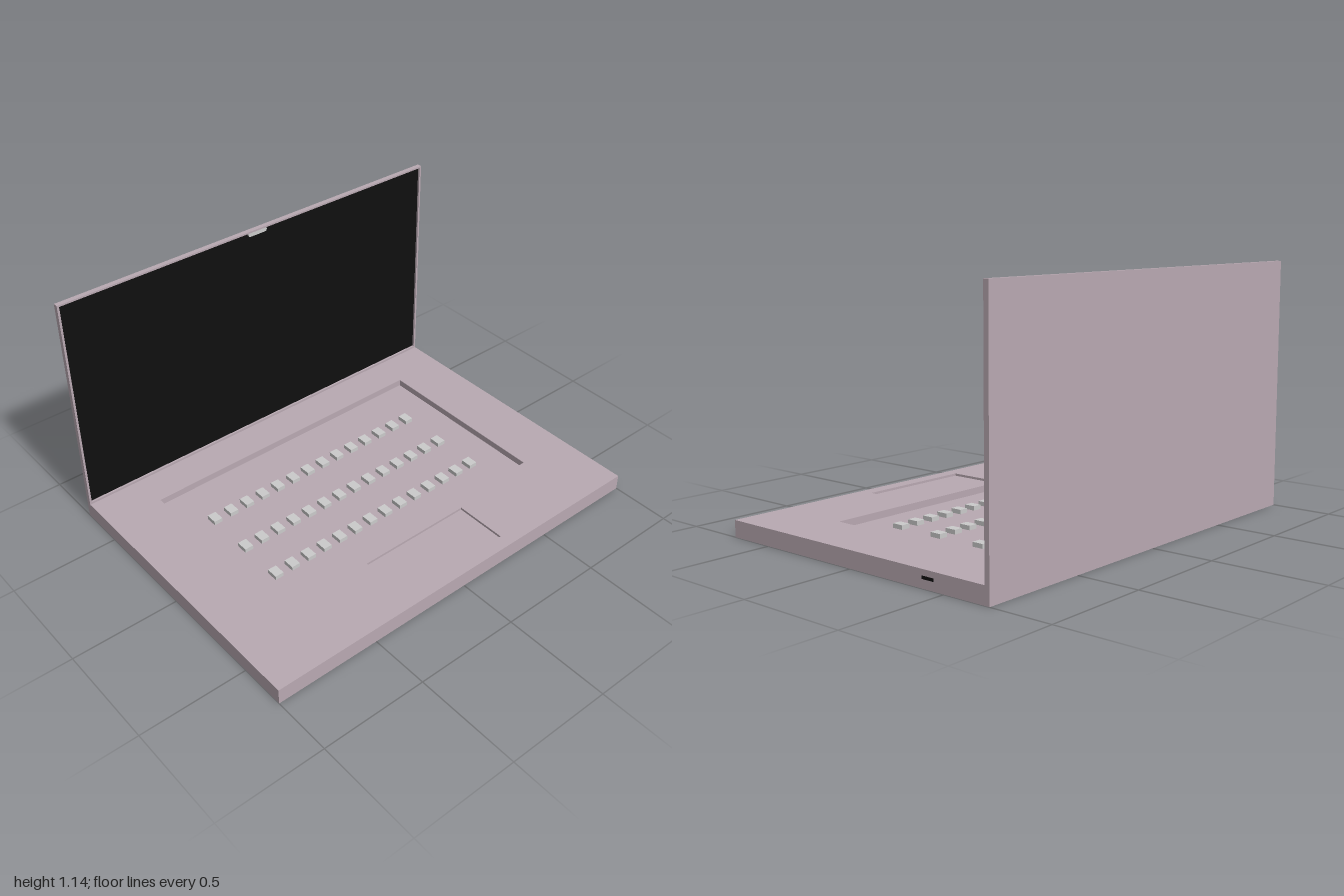
import * as THREE from 'three';

const shell = new THREE.MeshStandardMaterial({ color: 0xb9a9b2 });
const black = new THREE.MeshStandardMaterial({ color: 0x0f0f0f });
const grey = new THREE.MeshStandardMaterial({ color: 0xcccccc });

// Traces a rectangle into a Shape or Path
function rect(path, x0, y0, x1, y1) {
  path.moveTo(x0, y0);
  path.lineTo(x1, y0);
  path.lineTo(x1, y1);
  path.lineTo(x0, y1);
  path.closePath();
  return path;
}

// Flat plate in the XY plane with rectangular openings
function plate(outer, holes, depth) {
  const shape = rect(new THREE.Shape(), ...outer);
  shape.holes = holes.map((h) => rect(new THREE.Path(), ...h));
  return new THREE.ExtrudeGeometry(shape, { depth, bevelEnabled: false });
}

// Box given by its minimum and maximum corners
function box(x0, y0, z0, x1, y1, z1) {
  return new THREE.BoxGeometry(x1 - x0, y1 - y0, z1 - z0)
    .translate((x0 + x1) / 2, (y0 + y1) / 2, (z0 + z1) / 2);
}

export function createModel() {
  const model = new THREE.Group();
  model.name = 'laptop';
  const add = (name, geometry, material, parent = model) => {
    const mesh = new THREE.Mesh(geometry, material);
    mesh.name = name;
    parent.add(mesh);
    return mesh;
  };

  const D = 0.72, baseTop = 0.075, wellFloor = 0.043, lidFront = -0.697, lidTop = 1.14;

  // Base: solid lower slab and a deck with keyboard and trackpad openings
  const base = new THREE.Group();
  base.name = 'base';
  model.add(base);
  add('baseSlab', box(-1, 0, -D, 1, wellFloor, D), shell, base);
  const deck = plate(
    [-1, -D, 1, D],
    [[-0.737, -0.365, 0.733, 0.52], [-0.285, -0.657, 0.28, -0.407]],
    baseTop - wellFloor
  );
  deck.rotateX(-Math.PI / 2).translate(0, wellFloor, 0);
  add('deck', deck, shell, base);
  add('trackpad', box(-0.285, wellFloor, 0.407, 0.28, 0.064, 0.657), shell, base);
  add('sidePort', box(0.98, 0.037, -0.45, 1.001, 0.05, -0.39), black, base);

  // Keys: three rows of fourteen
  const keys = new THREE.Group();
  keys.name = 'keys';
  model.add(keys);
  const keyGeometry = new THREE.BoxGeometry(0.042, 0.02, 0.055);
  for (const z of [-0.275, -0.04, 0.18]) {
    for (let i = 0; i < 14; i++) {
      add('key', keyGeometry, grey, keys).position.set(-0.605 + i * 0.089, wellFloor + 0.01, z);
    }
  }

  // Lid: back panel, thin bezel and recessed display
  const lid = new THREE.Group();
  lid.name = 'lid';
  model.add(lid);
  add('lidBack', box(-1, baseTop, -D, 1, lidTop, -0.712), shell, lid);
  const bezel = plate([-1, baseTop, 1, lidTop], [[-0.99, 0.086, 0.99, 1.132]], lidFront + 0.712);
  add('bezel', bezel.translate(0, 0, -0.712), shell, lid);
  add('display', box(-0.99, 0.086, -0.713, 0.99, 1.132, -0.707), black, lid);

  // Camera notch hanging from the top bezel, lower corners rounded
  const notch = new THREE.Shape();
  notch.moveTo(-0.04, 1.133);
  notch.lineTo(-0.04, 1.124);
  notch.quadraticCurveTo(-0.04, 1.113, -0.029, 1.113);
  notch.lineTo(0.049, 1.113);
  notch.quadraticCurveTo(0.06, 1.113, 0.06, 1.124);
  notch.lineTo(0.06, 1.133);
  notch.closePath();
  const notchGeometry = new THREE.ExtrudeGeometry(notch, { depth: 0.01, bevelEnabled: false, curveSegments: 5 });
  add('cameraNotch', notchGeometry.translate(0, 0, -0.708), grey, lid);

  return model;
}
